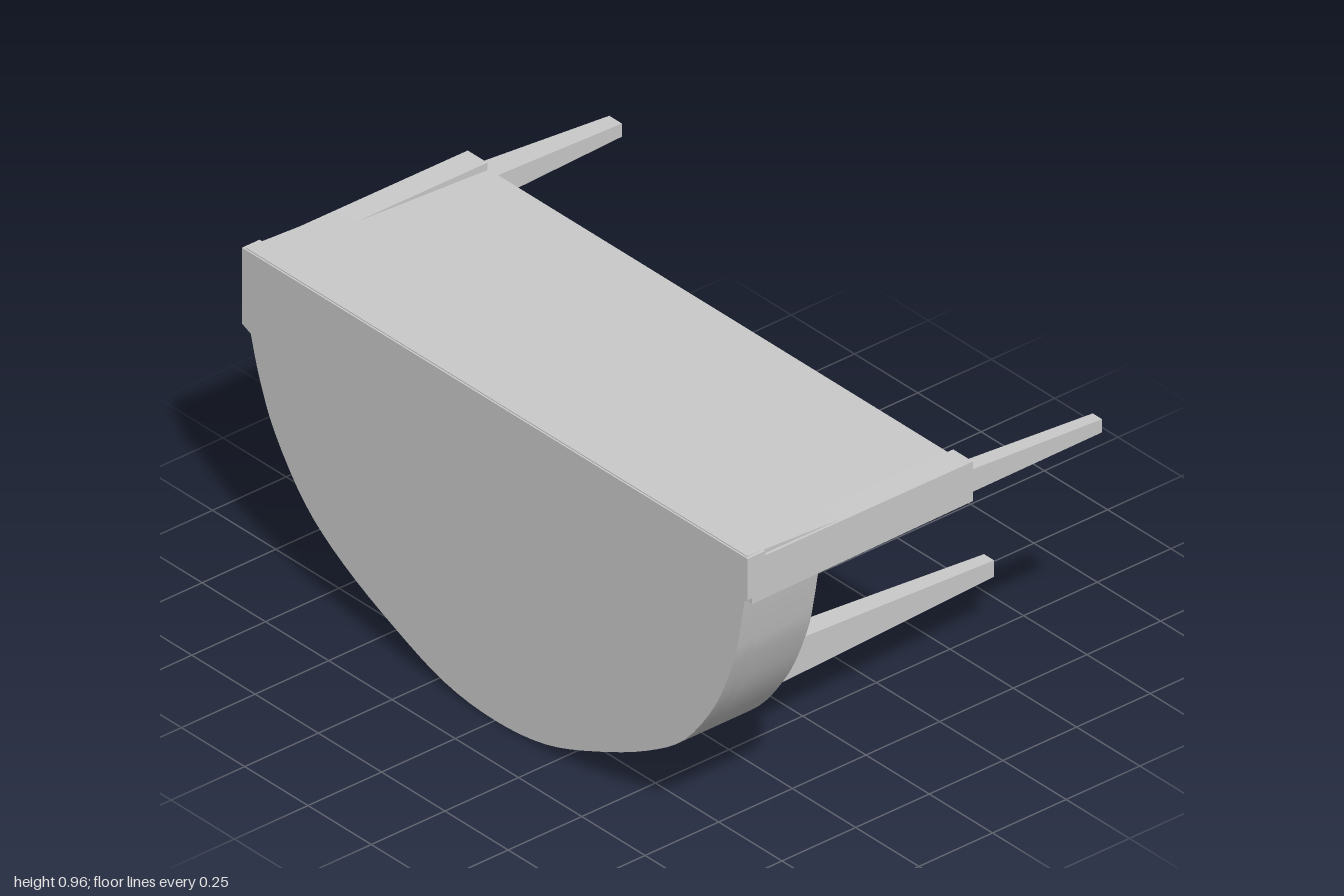
import * as THREE from 'three';
import { toCreasedNormals } from 'three/addons/utils/BufferGeometryUtils.js';

const material = new THREE.MeshStandardMaterial({ color: 0xcccccc, side: THREE.DoubleSide });

function add(group, name, geometry) {
  const mesh = new THREE.Mesh(geometry, material);
  mesh.name = name;
  group.add(mesh);
  return mesh;
}

// Bar along z whose section blends from a (at za) to b (at zb); section = [x0, x1, y0, y1]
function taperedBar(group, name, za, a, zb, b) {
  const g = new THREE.BoxGeometry(1, 1, 1);
  const p = g.attributes.position;
  for (let i = 0; i < p.count; i++) {
    const front = p.getZ(i) > 0;
    const s = front ? a : b;
    p.setXYZ(i, p.getX(i) < 0 ? s[0] : s[1], p.getY(i) < 0 ? s[2] : s[3], front ? za : zb);
  }
  const flat = g.toNonIndexed();
  flat.computeVertexNormals();
  return add(group, name, flat);
}

function extrude(points, z0, z1) {
  const g = new THREE.ExtrudeGeometry(new THREE.Shape(points), { depth: z1 - z0, bevelEnabled: false });
  g.translate(0, 0, z0);
  return toCreasedNormals(g, 0.5);
}

export function createModel() {
  const model = new THREE.Group();
  model.name = 'halfRoundTable';

  // Bowed edge shared by the top board and the apron
  const V = (x, y) => new THREE.Vector2(x, y);
  const bow = new THREE.SplineCurve([
    [-0.965, 0.72], [-0.93, 0.6], [-0.87, 0.465], [-0.75, 0.305], [-0.6, 0.195], [-0.4, 0.098],
    [-0.2, 0.025], [0, 0.003], [0.2, 0.025], [0.4, 0.098], [0.6, 0.195], [0.75, 0.3],
    [0.87, 0.46], [0.94, 0.62], [0.965, 0.72], [0.985, 0.83],
  ].map(([x, y]) => V(x, y))).getPoints(60);

  // Half-round board with stepped corners
  const board = [V(-1, 0.965), V(-1, 0.735), ...bow, V(0.998, 0.84), V(0.998, 0.965)];
  add(model, 'halfRoundBoard', extrude(board, 0.555, 0.615));

  // Curved apron behind the board
  const outer = [V(-0.985, 0.86), ...bow, V(0.985, 0.86)];
  const inner = outer.map((p) => V(p.x * 0.945, Math.min(0.86, 0.05 + p.y * 0.97)));
  add(model, 'curvedApron', extrude([...outer, ...inner.slice().reverse()], 0.362, 0.56));

  // Closed box between the inner legs, sitting in the bow of the apron
  const boxFloor = inner.filter((p) => Math.abs(p.x) < 0.45);
  add(model, 'centreBox', extrude(
    [V(-0.45, 0.91), V(-0.45, 0.165), ...boxFloor, V(0.45, 0.165), V(0.45, 0.91)], 0.38, 0.56));

  // Lip along the top of the box
  taperedBar(model, 'boxLip', 0.39, [-0.45, 0.45, 0.84, 0.905], 0.362, [-0.45, 0.45, 0.84, 0.905]);

  // Long leaf, sloping slightly down to its free edge
  taperedBar(model, 'leaf', 0.61, [-0.99, 0.99, 0.925, 0.968], -0.155, [-0.99, 0.99, 0.9, 0.927]);

  for (const [side, s] of [['left', 1], ['right', -1]]) {
    const span = (a, b) => (s > 0 ? [a, b] : [-b, -a]);

    // End rail under the leaf
    const [r0, r1] = span(0.92, 0.998);
    taperedBar(model, side + 'EndRail', 0.6, [r0, r1, 0.822, 0.952], -0.15, [r0, r1, 0.83, 0.95]);

    // Outer leg
    taperedBar(model, side + 'OuterLeg', -0.14, [...span(0.916, s > 0 ? 0.965 : 0.998), 0.831, 0.902],
      -0.615, [...span(0.93, s > 0 ? 0.967 : 0.98), 0.835, 0.875]);

    // Inner leg
    taperedBar(model, side + 'InnerLeg', 0.375, [...span(0.463, 0.55), 0.164, 0.298],
      -0.618, [...span(0.497, 0.537), 0.192, 0.242]);
  }

  return model;
}
